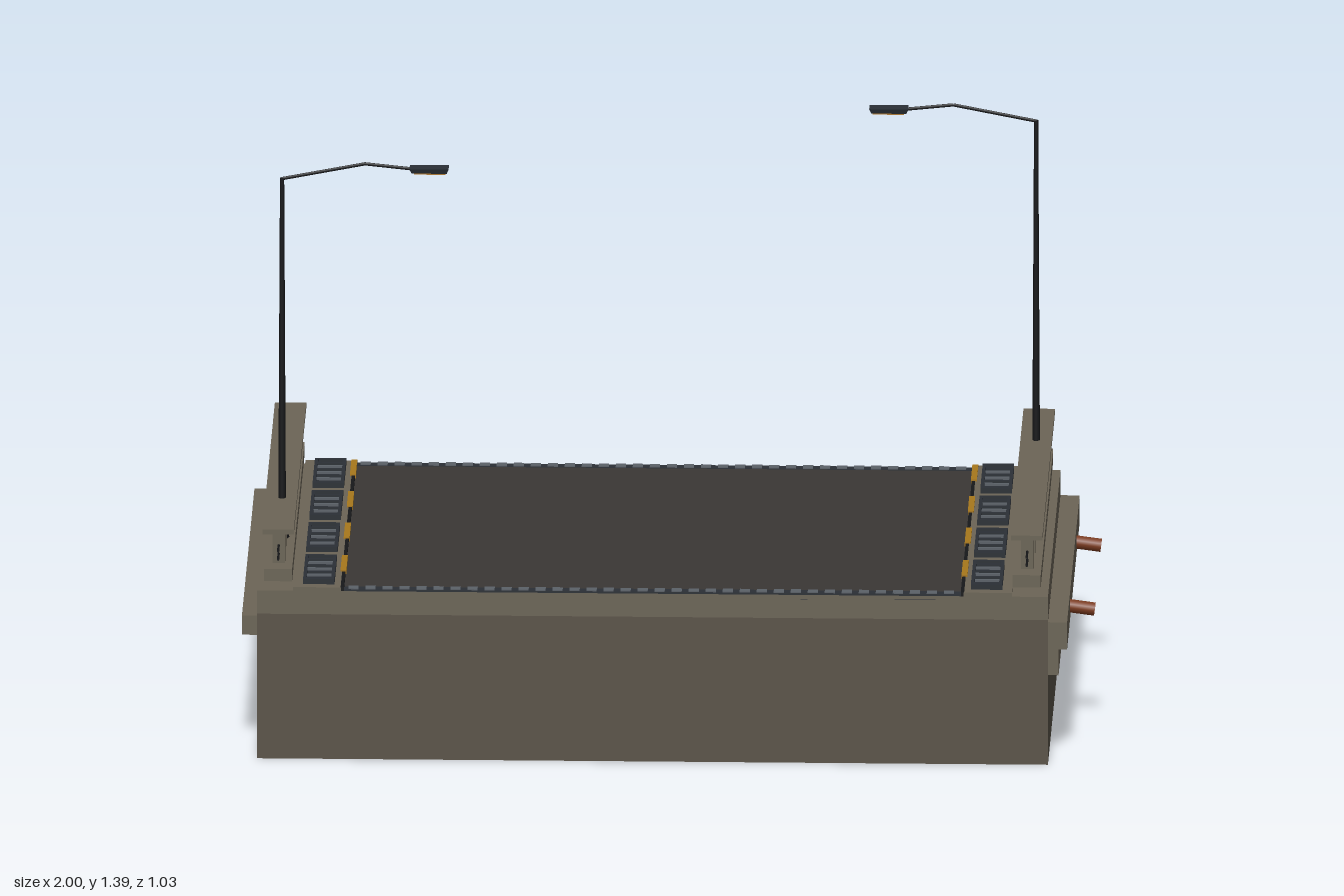
import * as THREE from 'three';

const DEPTH = 1.03;
const MID = -0.035; // centre line of the roadway

const paint = (color) => new THREE.MeshStandardMaterial({ color });
const mats = {
  wall: paint(0x5a5348), concrete: paint(0x6c6557), road: paint(0x3a3735), iron: paint(0x17181a),
  slate: paint(0x2b3036), joint: paint(0x5b6168), yellow: paint(0xa8781c), rust: paint(0x7a3a1e),
  amber: paint(0xb07a30),
};

// Box given by its limits on each axis
function block(parent, name, mat, [x0, x1], [y0, y1], [z0, z1]) {
  const mesh = new THREE.Mesh(new THREE.BoxGeometry(Math.abs(x1 - x0), y1 - y0, z1 - z0), mats[mat]);
  mesh.position.set((x0 + x1) / 2, (y0 + y1) / 2, (z0 + z1) / 2);
  mesh.name = name;
  parent.add(mesh);
  return mesh;
}

// Round bar between two points
function bar(parent, name, mat, a, b, r0, r1 = r0, sides = 8) {
  const from = new THREE.Vector3(...a), to = new THREE.Vector3(...b);
  const dir = to.clone().sub(from);
  const mesh = new THREE.Mesh(new THREE.CylinderGeometry(r1, r0, dir.length(), sides), mats[mat]);
  mesh.position.copy(from).add(to).multiplyScalar(0.5);
  mesh.quaternion.setFromUnitVectors(new THREE.Vector3(0, 1, 0), dir.normalize());
  mesh.name = name;
  parent.add(mesh);
  return mesh;
}

// Everything on one side, s = +1 or -1, measured outward from the centre line
function buildSide(s) {
  const side = new THREE.Group();
  side.name = s > 0 ? 'leftSide' : 'rightSide';
  const full = [-DEPTH / 2, DEPTH / 2];
  const x = (a, b) => [MID + s * a, MID + s * b];

  // Pavement and kerb with yellow markings
  block(side, 'pavement', 'concrete', x(0.732, 0.845), [0.40, 0.421], full);
  block(side, 'kerb', 'iron', x(0.725, 0.733), [0.40, 0.422], full);
  for (const z of [-0.51, -0.255, 0, 0.265]) {
    block(side, 'kerbMarking', 'yellow', x(0.723, 0.737), [0.402, 0.425], [z, z + 0.122]);
  }

  // Ventilation grates
  for (const z of [-0.39, -0.13, 0.13, 0.39]) {
    const grate = new THREE.Group();
    grate.name = 'grate';
    side.add(grate);
    block(grate, 'grateBed', 'iron', x(0.75, 0.82), [0.415, 0.425], [z - 0.098, z + 0.098]);
    for (const a of [0.748, 0.814]) {
      block(grate, 'grateFrame', 'slate', x(a, a + 0.008), [0.415, 0.434], [z - 0.1, z + 0.1]);
    }
    for (const e of [-0.096, 0.096]) {
      block(grate, 'grateFrame', 'slate', x(0.756, 0.814), [0.415, 0.434], [z + e - 0.004, z + e + 0.004]);
    }
    for (let i = 1; i < 8; i++) {
      const c = z - 0.1 + i * 0.025;
      block(grate, 'grateSlat', i % 2 ? 'slate' : 'joint', x(0.756, 0.814), [0.42, 0.431], [c - 0.004, c + 0.004]);
    }
  }

  // Balustrade
  const c = 0.88;
  block(side, 'balustradeBase', 'concrete', x(c - 0.033, c + 0.033), [0.435, 0.465], full);
  block(side, 'handrail', 'concrete', x(c - 0.037, c + 0.037), [0.55, 0.562], full);
  for (let i = 0; i < 8; i++) {
    const z = -0.452 + i * 0.129;
    block(side, 'baluster', 'concrete', x(c - 0.015, c + 0.015), [0.465, 0.55], [z - 0.014, z + 0.014]);
  }
  for (const y of [0.488, 0.508]) {
    bar(side, 'railRod', 'iron', [MID + s * c, y, full[0]], [MID + s * c, y, full[1]], 0.003, 0.003, 6);
  }
  return side;
}

// Street lamp whose arm reaches inward along dir
function buildLamp(x, z, dir) {
  const lamp = new THREE.Group();
  lamp.name = 'streetLamp';
  lamp.position.set(x, 0, z);
  bar(lamp, 'lampFoot', 'iron', [0, 0.465, 0], [0, 0.56, 0], 0.017, 0.011);
  bar(lamp, 'lampPole', 'iron', [0, 0.55, 0], [0, 1.347, 0], 0.009, 0.005);
  bar(lamp, 'lampArm', 'iron', [0, 1.345, 0], [dir * 0.195, 1.383, 0], 0.004);
  bar(lamp, 'lampArm', 'iron', [dir * 0.195, 1.383, 0], [dir * 0.31, 1.371, 0], 0.004);
  const head = block(lamp, 'lampHead', 'slate', [dir * 0.3, dir * 0.392], [1.364, 1.376], [-0.018, 0.018]);
  // Narrow the underside of the head
  const p = head.geometry.attributes.position;
  for (let i = 0; i < p.count; i++) {
    if (p.getY(i) < 0) p.setXYZ(i, p.getX(i) * 0.9, p.getY(i), p.getZ(i) * 0.75);
  }
  head.geometry.computeVertexNormals();
  block(lamp, 'lampLens', 'amber', [dir * 0.31, dir * 0.384], [1.361, 1.365], [-0.012, 0.012]);
  return lamp;
}

export function createModel() {
  const model = new THREE.Group();
  model.name = 'bridgeSection';
  const full = [-DEPTH / 2, DEPTH / 2];

  // Main body and deck
  block(model, 'body', 'wall', [-0.965, 0.895], [0, 0.355], full);
  block(model, 'deckSlab', 'concrete', [-0.965, 0.895], [0.355, 0.412], full);
  block(model, 'roadSurface', 'road', [-0.76, 0.69], [0.40, 0.415], [-0.505, 0.505]);

  // Side ledges, deeper on the drained side
  block(model, 'rightLedge', 'concrete', [-1, -0.965], [0.303, 0.35], full);
  block(model, 'leftLedge', 'concrete', [0.895, 0.94], [0.283, 0.35], full);
  block(model, 'leftLowerLedge', 'concrete', [0.895, 0.92], [0.22, 0.283], full);

  // Toothed expansion joints at both ends of the road
  for (const z of [-0.503, 0.503]) {
    block(model, 'jointStrip', 'slate', [-0.76, 0.69], [0.40, 0.4165], [z - 0.012, z + 0.012]);
    for (let i = 0; i < 36; i++) {
      const x = -0.75 + i * 0.04;
      block(model, 'jointTooth', 'joint', [x, x + 0.024], [0.405, 0.419], [z - 0.011, z + 0.011]);
    }
  }

  model.add(buildSide(1), buildSide(-1));
  model.add(buildLamp(-0.913, 0.255, 1), buildLamp(0.845, -0.262, -1));

  // Drain pipes
  for (const z of [0.257, -0.26]) {
    bar(model, 'drainPipe', 'rust', [0.9, 0.318, z], [0.998, 0.305, z], 0.016, 0.016, 12);
  }
  return model;
}
